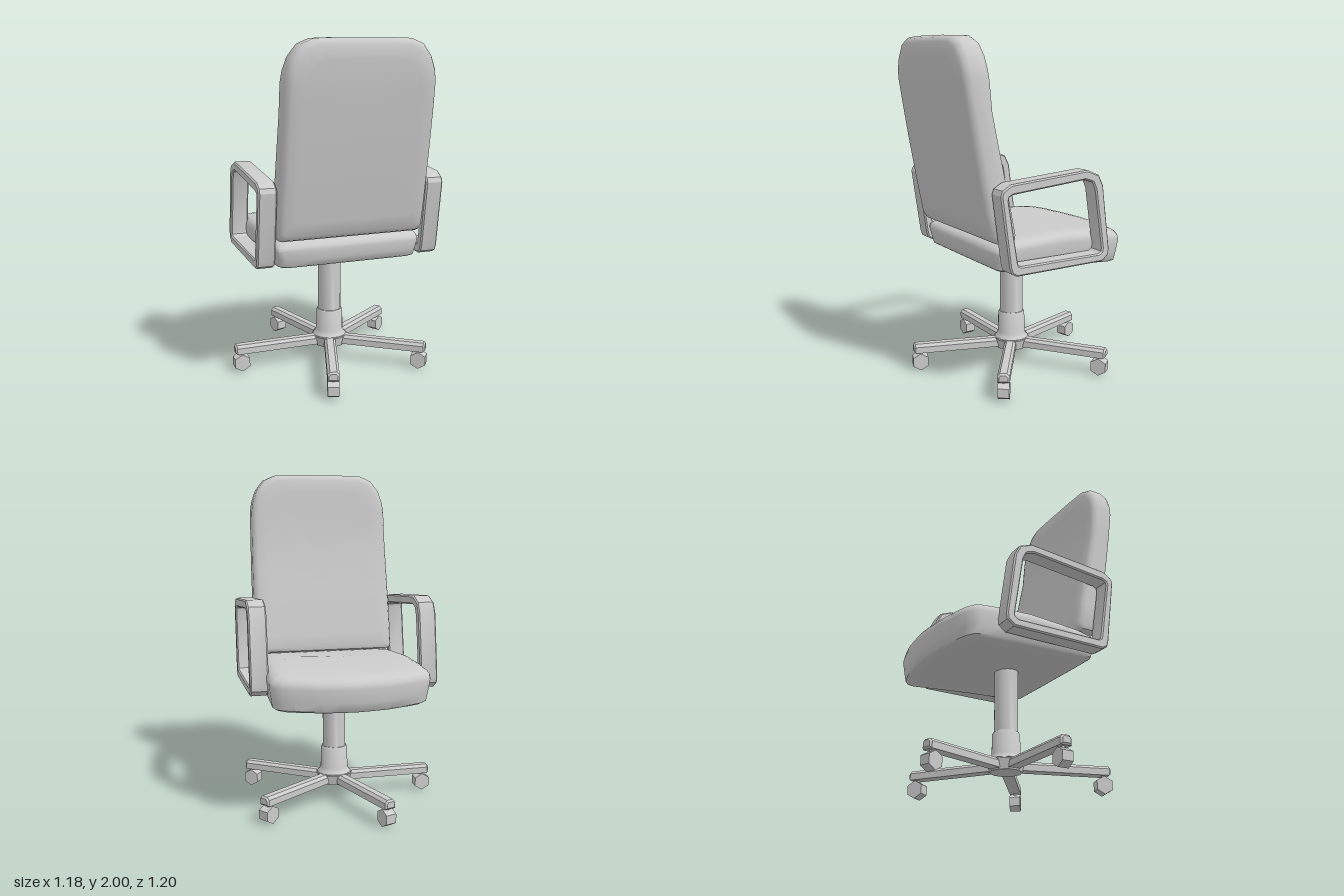
import * as THREE from 'three';
import { toCreasedNormals } from 'three/addons/utils/BufferGeometryUtils.js';

const material = new THREE.MeshStandardMaterial({ color: 0xcccccc });

function addMesh(parent, geometry, name, crease = 0.6) {
  const mesh = new THREE.Mesh(toCreasedNormals(geometry, crease), material);
  mesh.name = name;
  parent.add(mesh);
  return mesh;
}

// Piecewise linear lookup in a list of [position, value], sorted by position
function lookup(points, p) {
  let i = 1;
  while (i < points.length - 1 && p > points[i][0]) i++;
  const [a, b] = [points[i - 1], points[i]];
  const t = THREE.MathUtils.clamp((p - a[0]) / (b[0] - a[0]), 0, 1);
  return a[1] + (b[1] - a[1]) * t;
}

// Padded slab: a mirrored outline stacked in layers of [inset, thickness 0..1], closed by shrinking rings
function cushion(half, layers, place) {
  const outline = [...half, ...half.slice(1, -1).reverse().map(([u, v]) => [-u, v])];
  const vs = half.map(p => p[1]);
  const lo = Math.min(...vs), hi = Math.max(...vs);
  const hu = Math.max(...half.map(p => p[0])), hv = (hi - lo) / 2, mid = (hi + lo) / 2;
  const cap = [0.85, 0.6, 0.3, 0];
  const first = layers[0], last = layers[layers.length - 1];
  const rings = [
    ...cap.slice().reverse().map(s => [...first, s]),
    ...layers.map(l => [...l, 1]),
    ...cap.map(s => [...last, s]),
  ];
  const positions = [], index = [], n = outline.length;
  rings.forEach(([inset, t, s], r) => {
    for (let j = 0; j < n; j++) {
      const u = outline[j][0] * (1 - inset / hu) * s;
      const v = mid + (outline[j][1] - mid) * (1 - inset / hv) * s;
      positions.push(...place(u, v, t));
      if (r === 0) continue;
      const a = (r - 1) * n + j, b = (r - 1) * n + (j + 1) % n;
      index.push(a, b, b + n, a, b + n, a + n);
    }
  });
  const geometry = new THREE.BufferGeometry();
  geometry.setAttribute('position', new THREE.Float32BufferAttribute(positions, 3));
  geometry.setIndex(index);
  return geometry;
}

const vectors = list => list.map(([x, y]) => new THREE.Vector2(x, y));

export function createModel() {
  const model = new THREE.Group();
  model.name = 'officeChair';
  const chair = new THREE.Group();
  chair.name = 'chair';
  chair.position.x = 0.028;
  model.add(chair);

  // Seat: bowed front edge towards -z, slightly crowned top
  const seatOutline = [
    [0, -0.36], [0.2, -0.36], [0.4, -0.358], [0.43, -0.345], [0.443, -0.31], [0.447, -0.24],
    [0.452, -0.1], [0.46, 0.1], [0.465, 0.3], [0.468, 0.43], [0.455, 0.465], [0.41, 0.497],
    [0.35, 0.517], [0.2, 0.555], [0.1, 0.566], [0, 0.575],
  ];
  const seatTop = [[-0.36, 0.865], [-0.24, 0.885], [0.07, 0.907], [0.3, 0.895], [0.47, 0.877], [0.57, 0.862]];
  const seatBottom = [[-0.36, 0.72], [0.07, 0.706], [0.4, 0.685], [0.53, 0.672]];
  const seatLayers = [[0.035, 0], [0.02, 0.06], [0.012, 0.3], [0, 0.7], [0.004, 0.82], [0.02, 0.92], [0.05, 0.98], [0.1, 1]];
  addMesh(chair, cushion(seatOutline, seatLayers, (u, v, t) =>
    [u, THREE.MathUtils.lerp(lookup(seatBottom, v), lookup(seatTop, v), t), -v]), 'seat', 0.8);

  // Backrest: leans back and straightens towards the rounded top
  const backOutline = [
    [0, 0.88], [0.2, 0.88], [0.41, 0.88], [0.435, 0.89], [0.445, 0.915], [0.445, 1.05], [0.443, 1.2],
    [0.441, 1.4], [0.438, 1.6], [0.435, 1.77], [0.425, 1.83], [0.4, 1.9], [0.35, 1.965], [0.28, 1.995], [0.14, 2], [0, 2],
  ];
  const frontFace = [[0.88, 0.225], [1.18, 0.286], [1.4, 0.334], [1.6, 0.375], [1.79, 0.39], [2, 0.408]];
  const rearFace = [[0.88, 0.386], [1.236, 0.455], [1.4, 0.485], [1.6, 0.519], [1.79, 0.55], [2, 0.562]];
  const backLayers = [[0.035, 0], [0.012, 0.06], [0, 0.2], [0, 0.75], [0.012, 0.9], [0.035, 1]];
  addMesh(chair, cushion(backOutline, backLayers, (u, v, t) =>
    [u, v, THREE.MathUtils.lerp(lookup(frontFace, v), lookup(rearFace, v), t)]), 'backrest', 0.8);

  // Armrests: closed loops drawn in (z, y) and extruded sideways
  const loop = new THREE.Shape(vectors([
    [0.407, 1.172], [0.395, 1.2], [0.344, 1.23], [-0.153, 1.268], [-0.233, 1.236], [-0.265, 1.172],
    [-0.317, 0.8], [-0.312, 0.765], [-0.27, 0.732], [0.307, 0.727], [0.34, 0.745], [0.352, 0.78],
  ]));
  loop.holes.push(new THREE.Path(vectors([
    [0.36, 1.146], [0.355, 1.163], [0.333, 1.174], [-0.138, 1.215], [-0.19, 1.198], [-0.21, 1.156],
    [-0.265, 0.81], [-0.262, 0.792], [-0.243, 0.78], [0.28, 0.78], [0.296, 0.787], [0.302, 0.805],
  ])));
  const bevel = 0.008, armWidth = 0.107;
  const armGeometry = new THREE.ExtrudeGeometry(loop, {
    depth: armWidth - 2 * bevel, bevelThickness: bevel, bevelSize: bevel, bevelOffset: -bevel, bevelSegments: 1,
  });
  armGeometry.rotateY(-Math.PI / 2);
  for (const [name, outer] of [['leftArmrest', 0.557], ['rightArmrest', -0.557 + armWidth]]) {
    addMesh(chair, armGeometry, name, 0.5).position.x = outer - bevel;
  }

  // Gas column with its lower sleeve
  addMesh(chair, new THREE.LatheGeometry(vectors([
    [0.11, 0.16], [0.092, 0.18], [0.084, 0.2], [0.081, 0.322], [0.075, 0.333], [0.07, 0.333], [0.07, 0.73],
  ]), 20), 'column');

  // Five-legged base
  const base = new THREE.Group();
  base.name = 'base';
  chair.add(base);
  addMesh(base, new THREE.CylinderGeometry(0.11, 0.095, 0.067, 10).translate(0, 0.1335, 0), 'hub');

  const legSection = new THREE.Shape(vectors([
    [-0.035, 0.11], [0.035, 0.11], [0.035, 0.148], [0.02, 0.165], [-0.02, 0.165], [-0.035, 0.148],
  ]));
  const legGeometry = new THREE.ExtrudeGeometry(legSection, {
    depth: 0.555, bevelThickness: 0.01, bevelSize: 0.01, bevelOffset: -0.01, bevelSegments: 1,
  });
  legGeometry.translate(0, 0, 0.05).rotateY(Math.PI / 2);
  const casterGeometry = new THREE.CylinderGeometry(0.053, 0.053, 0.066, 6);
  casterGeometry.rotateY(Math.PI / 6).rotateX(Math.PI / 2).rotateZ(Math.PI / 6);
  casterGeometry.computeBoundingBox();
  // Turn the hexagon so that a corner points down
  if (casterGeometry.boundingBox.max.y < 0.05) casterGeometry.rotateZ(Math.PI / 6);

  for (let i = 0; i < 5; i++) {
    const spoke = new THREE.Group();
    spoke.name = 'spoke' + (i + 1);
    spoke.rotation.y = Math.PI + i * Math.PI * 2 / 5;
    base.add(spoke);
    addMesh(spoke, legGeometry, 'leg', 0.5);
    addMesh(spoke, casterGeometry, 'caster', 0.5).position.set(0.574, 0.053, 0);
    addMesh(spoke, new THREE.CylinderGeometry(0.015, 0.015, 0.04, 8), 'casterPin').position.set(0.574, 0.1, 0);
  }
  return model;
}
